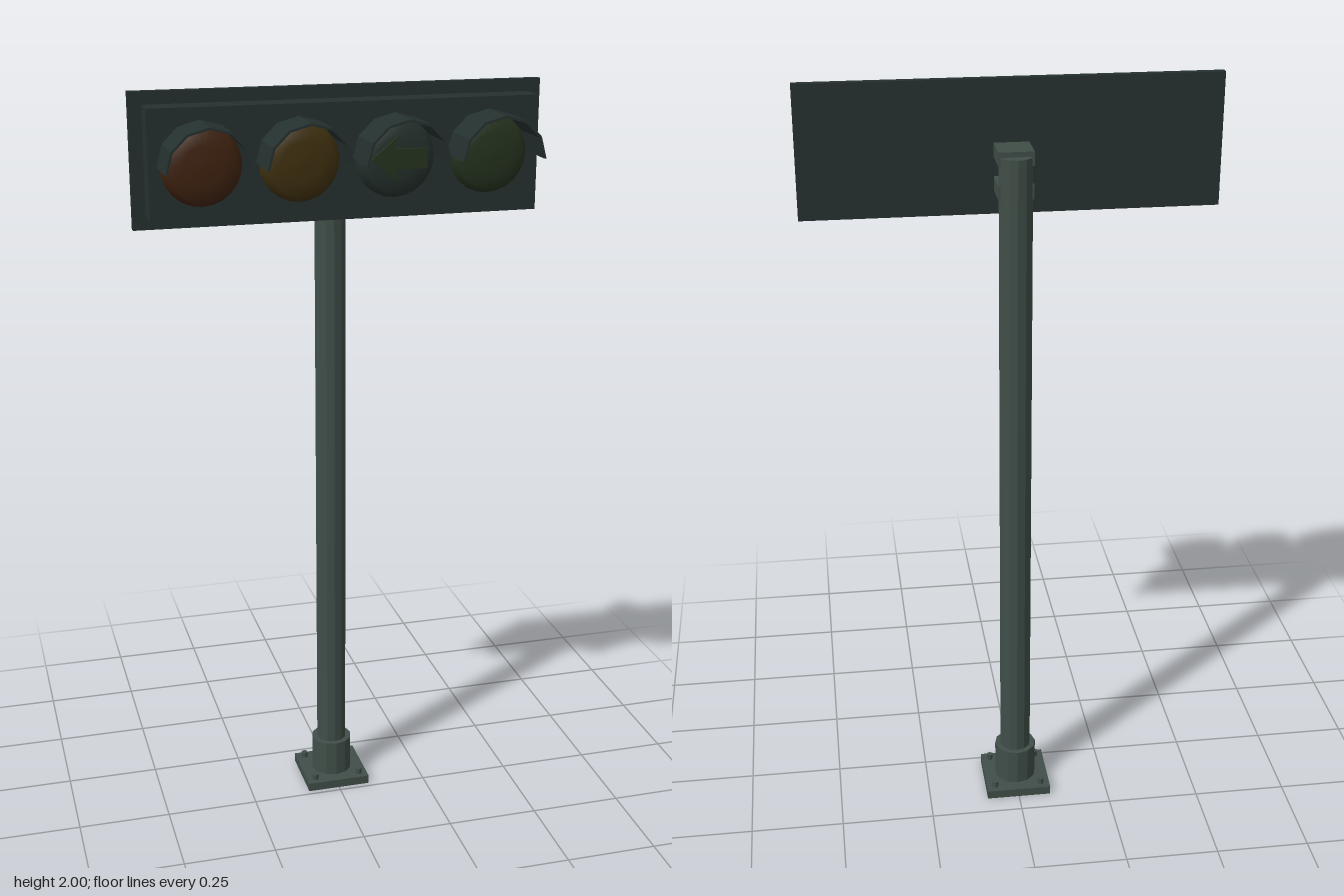
import * as THREE from 'three';

const mat = (name, color, extra = {}) => {
  const m = new THREE.MeshStandardMaterial({ color, ...extra });
  m.name = name;
  return m;
};

export function createModel() {
  const group = new THREE.Group();
  const housingMat = mat('dark housing', 0x25312f, { flatShading: true });
  const poleMat = mat('grey green steel', 0x404e48, { flatShading: true });
  const redMat = mat('unlit red', 0x402310);
  const amberMat = mat('unlit amber', 0x40310f);
  const arrowLensMat = mat('dark lens', 0x25312c);
  const greenMat = mat('unlit green', 0x25331f);

  const add = (name, geometry, material, x = 0, y = 0, z = 0) => {
    const mesh = new THREE.Mesh(geometry, material);
    mesh.name = name;
    mesh.position.set(x, y, z);
    group.add(mesh);
    return mesh;
  };
  const box = (name, material, w, y0, y1, z0, z1) =>
    add(name, new THREE.BoxGeometry(w, y1 - y0, z1 - z0), material, 0, (y0 + y1) / 2, (z0 + z1) / 2);
  const post = (name, r, y0, y1, sides, x, z) =>
    add(name, new THREE.CylinderGeometry(r, r, y1 - y0, sides), poleMat, x, (y0 + y1) / 2, z);

  // Pole, collar and bolted foot
  const poleZ = -0.104;
  box('basePlate', poleMat, 0.178, 0, 0.024, poleZ - 0.089, poleZ + 0.089);
  post('collar', 0.057, 0.024, 0.125, 12, 0, poleZ);
  post('pole', 0.042, 0.1, 1.83, 12, 0, poleZ);
  for (const sx of [-1, 1]) for (const sz of [-1, 1]) {
    post('bolt', 0.009, 0.024, 0.04, 6, sx * 0.065, poleZ + sz * 0.065);
  }

  // Mounting arms between pole and signal
  box('upperArm', poleMat, 0.088, 1.808, 1.843, -0.116, -0.024);
  box('lowerArm', poleMat, 0.088, 1.724, 1.76, -0.116, -0.024);

  // Back plate and signal housing
  box('backPlate', housingMat, 1.054, 1.664, 2, -0.024, -0.005);
  box('housing', housingMat, 0.988, 1.697, 1.968, -0.005, 0.065);

  // Half-round visor: a twelve-sided tube cut at its middle
  const visorShape = new THREE.Shape();
  const arc = (r, i) => [r * Math.cos(i * Math.PI / 6), r * Math.sin(i * Math.PI / 6)];
  visorShape.moveTo(...arc(0.108, 0));
  for (let i = 1; i <= 6; i++) visorShape.lineTo(...arc(0.108, i));
  for (let i = 6; i >= 0; i--) visorShape.lineTo(...arc(0.102, i));
  visorShape.closePath();
  const visorGeo = new THREE.ExtrudeGeometry(visorShape, { depth: 0.129, bevelEnabled: false });

  // Shallow domed lens, turned to face the front
  const profile = [[0.102, 0], [0.098, 0.012], [0.085, 0.026], [0.05, 0.032], [0, 0.034]];
  const lensGeo = new THREE.LatheGeometry(profile.map(p => new THREE.Vector2(...p)), 24);
  lensGeo.rotateX(Math.PI / 2);

  const lightY = 1.83;
  [redMat, amberMat, arrowLensMat, greenMat].forEach((material, i) => {
    const x = (i - 1.5) * 0.2435;
    add('visor', visorGeo, housingMat, x, lightY, 0.064);
    add('lens', lensGeo, material, x, lightY, 0.064);
  });

  // Arrow pointing to the model's right on the third lens
  const arrow = new THREE.Shape([
    [-0.073, 0], [-0.01, -0.053], [-0.01, -0.025], [0.07, -0.025],
    [0.07, 0.025], [-0.01, 0.025], [-0.01, 0.053],
  ].map(p => new THREE.Vector2(...p)));
  add('arrow', new THREE.ExtrudeGeometry(arrow, { depth: 0.009, bevelEnabled: false }),
    greenMat, 0.122, lightY, 0.104);

  // LatheGeometry normals may face inward for some profiles, so lenses show both faces
  for (const m of [redMat, amberMat, arrowLensMat, greenMat]) m.side = THREE.DoubleSide;
  return group;
}
